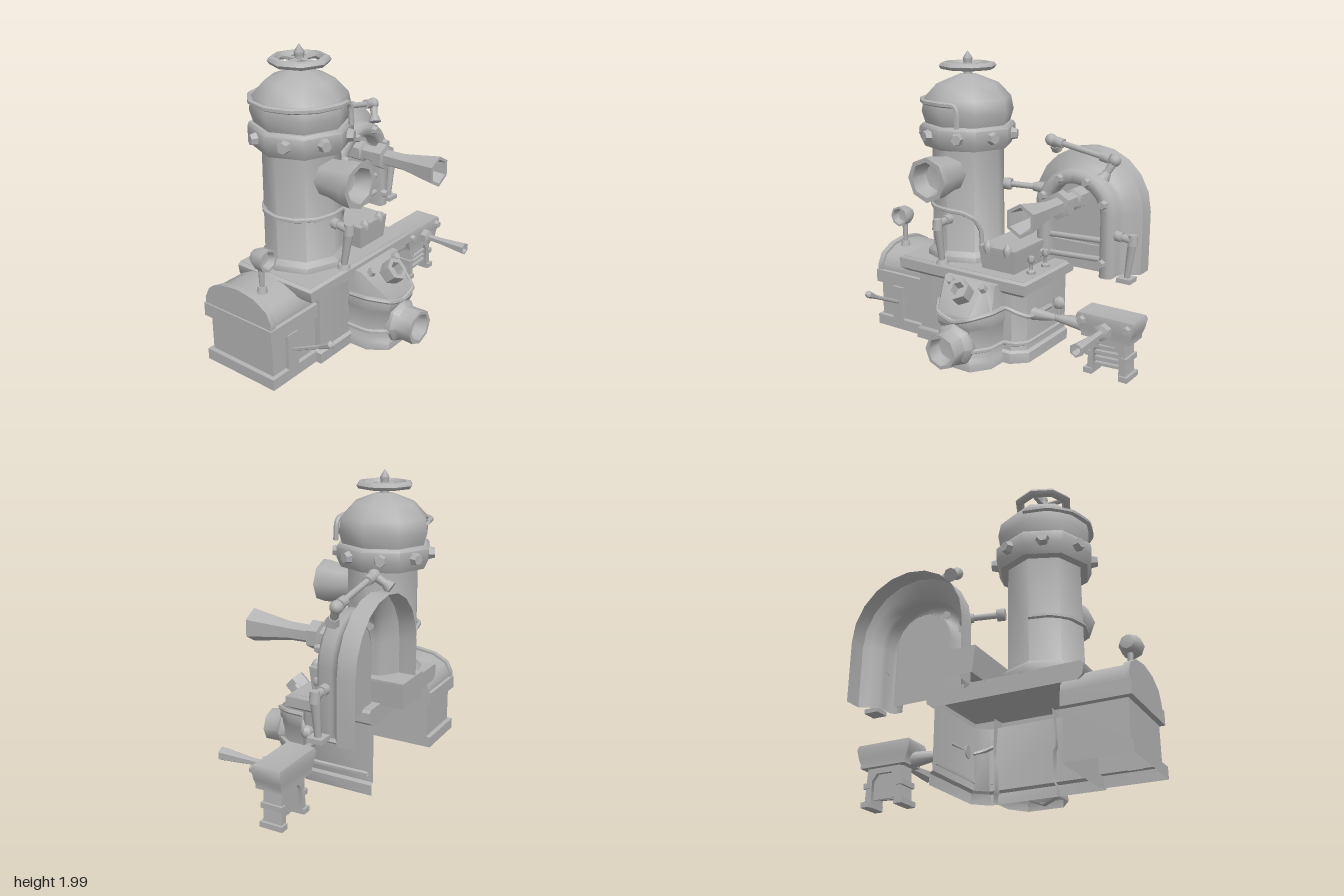
import * as THREE from 'three';
import { toCreasedNormals } from 'three/addons/utils/BufferGeometryUtils.js';

const V = (x, y, z) => new THREE.Vector3(x, y, z);
const UP = V(0, 1, 0);

export function createModel() {
  const model = new THREE.Group();
  model.name = 'steamMachine';
  const castIron = new THREE.MeshStandardMaterial({ color: 0xb2b2b2, side: THREE.DoubleSide });
  castIron.name = 'castIronGrey';

  const add = (name, geo, x = 0, y = 0, z = 0) => {
    const mesh = new THREE.Mesh(toCreasedNormals(geo, 0.9), castIron);
    mesh.name = name;
    mesh.position.set(x, y, z);
    model.add(mesh);
    return mesh;
  };
  const box = (name, w, h, d, x, y, z) => add(name, new THREE.BoxGeometry(w, h, d), x, y, z);
  // Tapered bar from a to b
  const link = (name, a, b, r0, r1 = r0, sides = 8) => {
    const d = b.clone().sub(a);
    const mesh = add(name, new THREE.CylinderGeometry(r1, r0, d.length(), sides));
    mesh.position.copy(a).addScaledVector(d, 0.5);
    mesh.quaternion.setFromUnitVectors(UP, d.normalize());
    return mesh;
  };
  const bolt = (p, dir, r = 0.032, h = 0.04) =>
    link('bolt', p, p.clone().addScaledVector(dir, h), r, r * 0.75, 6);
  // Turned profile of [radius, height] pairs
  const turned = (profile, sides = 8) =>
    new THREE.LatheGeometry(profile.map(([r, y]) => new THREE.Vector2(r, y)), sides);
  const facing = (name, profile, sides, x, y, z) =>
    add(name, turned(profile, sides).rotateX(Math.PI / 2), x, y, z);
  const pipe = (name, pts, r = 0.016) => add(name, new THREE.TubeGeometry(
    new THREE.CatmullRomCurve3(pts, false, 'catmullrom', 0.2), pts.length * 5, r, 6));
  // Skin over a row of cross-sections
  const loft = (sections, closed = false) => {
    const n = sections[0].length, index = [];
    for (let i = 0; i < sections.length - 1; i++)
      for (let j = 0; j < (closed ? n : n - 1); j++) {
        const a = i * n + j, b = i * n + (j + 1) % n;
        index.push(a, b, a + n, b, b + n, a + n);
      }
    const geo = new THREE.BufferGeometry().setFromPoints(sections.flat());
    geo.setIndex(index);
    return geo;
  };
  // Stacked rectangles [y, x0, x1, z0, z1]
  const stack = (name, rows) => add(name, loft(rows.map(([y, a, b, c, d]) =>
    [V(a, y, d), V(b, y, d), V(b, y, c), V(a, y, c)]), true));
  const archShape = (x, y0, y1, rx, ry, n) => {
    const s = new THREE.Shape([new THREE.Vector2(x + rx, y0)]);
    for (let i = 0; i <= n; i++) {
      const t = (i / n) * Math.PI;
      s.lineTo(x + rx * Math.cos(t), y1 + ry * Math.sin(t));
    }
    s.lineTo(x - rx, y0);
    return s;
  };
  // Jointed valve lever standing on a foot
  const lever = (foot, knee, end) => {
    link('leverFoot', foot, foot.clone().add(V(0, 0.03, 0)), 0.045, 0.035);
    link('leverArm', foot, knee, 0.02, 0.032);
    link('leverElbow', knee.clone().add(V(0, -0.035, 0)), knee.clone().add(V(0, 0.035, 0)), 0.036, 0.03);
    link('leverRod', knee, end, 0.032, 0.022);
    link('leverCollar', knee.clone().lerp(end, 0.6), end, 0.035);
  };

  // Tower
  const tx = -0.365, tz = -0.15;
  const around = (deg, r, y) => V(tx + r * Math.sin(deg * Math.PI / 180), y, tz + r * Math.cos(deg * Math.PI / 180));
  add('towerColumn', turned([[0.285, 0.58], [0.285, 0.63], [0.25, 0.66], [0.245, 1.37]]), tx, 0, tz);
  add('towerCollar', turned([[0.24, 1.35], [0.295, 1.355], [0.325, 1.42], [0.325, 1.49], [0.31, 1.51], [0.28, 1.51]]), tx, 0, tz);
  add('towerDome', turned([[0.285, 1.5], [0.312, 1.59], [0.295, 1.68], [0.21, 1.77], [0.06, 1.83], [0, 1.835]]), tx, 0, tz);
  for (let i = 0; i < 8; i++) {
    const d = 22.5 + i * 45;
    bolt(around(d, 0.295, 1.44), around(d, 1, 0).sub(V(tx, 0, tz)), 0.045, 0.045);
  }
  const round = [-180, -150, -120, -90, -60, -30, 0];
  pipe('domePipe', [...round.map(d => around(d, 0.31, 1.66)), around(18, 0.305, 1.655), around(23, 0.315, 1.62), around(23, 0.32, 1.51)], 0.018);
  pipe('columnPipe', [...round.map(d => around(d, 0.25, 0.945)), around(25, 0.25, 0.935), around(45, 0.25, 0.89),
    around(55, 0.25, 0.81), around(57, 0.25, 0.65)]);
  facing('towerPort', [[0.12, 0], [0.125, 0.2], [0.15, 0.33], [0.15, 0.38], [0.118, 0.38], [0.09, 0.27], [0, 0.25]], 8, tx, 1.19, -0.07);

  // Hand wheel
  link('wheelStem', V(tx, 1.82, tz), V(tx, 1.93, tz), 0.03, 0.028);
  add('wheelFinial', turned([[0.028, 1.91], [0.033, 1.935], [0, 1.985]]), tx, 0, tz);
  add('wheelRim', turned([[0.135, 1.885], [0.15, 1.91], [0.18, 1.905], [0.193, 1.885], [0.18, 1.865], [0.15, 1.86], [0.135, 1.885]]), tx, 0, tz);
  for (let i = 0; i < 4; i++) link('wheelSpoke', V(tx, 1.885, tz), around(i * 90, 0.15, 1.885), 0.016, 0.016, 6);

  // Main body: thin walls, open behind and below
  const wall = (y, o) => [V(-0.57 - o, y, -0.41), V(-0.57 - o, y, 0.15 + o), V(0.19, y, 0.15 + o), V(0.265 + o, y, 0.08), V(0.265 + o, y, -0.41)];
  add('bodyWalls', loft([wall(0, 0.02), wall(0.07, 0.02), wall(0.085, 0), wall(0.5, 0)]));
  stack('bodyTop', [[0.48, -0.67, 0.28, -0.41, 0.16], [0.51, -0.7, 0.325, -0.41, 0.2], [0.575, -0.71, 0.325, -0.41, 0.2], [0.59, -0.69, 0.3, -0.41, 0.18]]);
  box('bodyDeck', 0.99, 0.02, 0.59, -0.195, 0.582, -0.115);
  stack('deckTrough', [[0.58, -0.08, 0.17, -0.57, 0.09], [0.745, -0.1, 0.185, -0.57, 0.105]]);
  box('troughLid', 0.285, 0.012, 0.675, 0.0425, 0.745, -0.2325);
  for (const x of [-0.035, 0.12])
    add('troughSpike', turned([[0.02, 0.7], [0.034, 0.745], [0.025, 0.765], [0, 0.795]], 6), x, 0, 0.09);
  for (const z of [0.01, -0.165])
    add('deckPeg', turned([[0.03, 0.58], [0.03, 0.61], [0.012, 0.62], [0.012, 0.66], [0.027, 0.68], [0.02, 0.71], [0, 0.715]], 6), 0.25, 0, z);

  // Front bulge
  const bulge = (y, o, cut = 1) => [[-0.28, 0.1], [-0.275, 0.29], [-0.19, 0.41], [0.04, 0.41], [0.125, 0.29], [0.13, 0.1]]
    .map(([x, z]) => V(x + Math.sign(x + 0.075) * o, y, Math.min(z + o, cut)));
  add('bulgeShell', loft([bulge(0, 0.01), bulge(0.05, 0.01), bulge(0.08, -0.005), bulge(0.27, 0), bulge(0.3, 0.012),
    bulge(0.37, 0.012), bulge(0.55, 0, 0.24), bulge(0.55, 0, 0.1)]));
  facing('bulgePort', [[0.14, 0], [0.145, 0.05], [0.115, 0.08], [0.118, 0.19], [0.095, 0.19], [0.08, 0.1], [0, 0.09]], 8, -0.07, 0.165, 0.38);
  facing('bulgeNozzle', [[0.075, 0], [0.08, 0.08], [0.078, 0.12], [0.048, 0.12], [0.04, 0.06], [0, 0.06]], 6, -0.07, 0.455, 0.295).rotation.x = -0.75;
  for (const x of [-0.2, 0.055]) bolt(V(x, 0.52, 0.265), V(0, 0.7, 0.7));
  pipe('wavyPipe', [V(-0.29, 0.38, 0.17), V(-0.285, 0.385, 0.3), V(-0.195, 0.36, 0.425), V(-0.07, 0.325, 0.43), V(0.045, 0.36, 0.425),
    V(0.14, 0.385, 0.3), V(0.15, 0.385, 0.17), V(0.22, 0.35, 0.13), V(0.28, 0.32, 0.07), V(0.275, 0.31, -0.2)]);
  pipe('lowerPipe', [V(-0.285, 0.14, 0.15), V(-0.28, 0.14, 0.3), V(-0.195, 0.14, 0.415), V(0.045, 0.14, 0.415), V(0.13, 0.14, 0.3),
    V(0.14, 0.14, 0.165), V(0.2, 0.14, 0.16), V(0.275, 0.14, 0.08), V(0.275, 0.14, -0.38)]);

  // Side chamber with a barrel roof
  stack('chamberWalls', [[0, -0.985, -0.57, -0.44, 0.13], [0.075, -0.985, -0.57, -0.44, 0.13], [0.08, -0.96, -0.57, -0.41, 0.105],
    [0.32, -0.96, -0.57, -0.41, 0.105], [0.325, -0.99, -0.57, -0.44, 0.13], [0.415, -0.99, -0.57, -0.44, 0.13], [0.42, -0.95, -0.57, -0.42, 0.11]]);
  const barrel = (name, rx, ry, x, len) => add(name, new THREE.ExtrudeGeometry(archShape(0, 0, 0.04, rx, ry, 6),
    { depth: len, bevelEnabled: false }).rotateY(Math.PI / 2), x, 0.415, -0.155);
  barrel('chamberRoof', 0.262, 0.13, -0.965, 0.4);
  barrel('chamberRoofRim', 0.278, 0.148, -0.98, 0.04);
  box('leverBracket', 0.09, 0.24, 0.03, -0.8, 0.195, 0.115);
  link('chamberLever', V(-0.8, 0.2, 0.12), V(-0.8, 0.31, 0.35), 0.012, 0.014, 6);
  link('chamberLeverGrip', V(-0.8, 0.31, 0.35), V(-0.8, 0.355, 0.43), 0.014, 0.026, 6);
  link('chamberLeverTip', V(-0.8, 0.355, 0.43), V(-0.8, 0.365, 0.45), 0.026, 0.008, 6);
  link('gaugeFoot', V(-0.865, 0.57, -0.05), V(-0.865, 0.61, -0.05), 0.035, 0.025);
  link('gaugeStem', V(-0.865, 0.58, -0.05), V(-0.865, 0.75, -0.05), 0.014, 0.02);
  facing('gaugeCup', [[0, 0], [0.045, 0.01], [0.07, 0.06], [0.073, 0.125], [0.058, 0.125], [0.045, 0.08], [0, 0.07]], 8, -0.865, 0.8, -0.11);

  // Arched furnace door: rim profile [offset, z] carried round the arch
  const ax = 0.403, ay = 0.965, steps = 10;
  const rim = [[0.405, -0.567], [0.405, -0.45], [0.36, -0.425], [0.3, -0.38], [0.287, -0.35], [0.287, -0.27], [0.265, -0.245], [0.215, -0.245], [0.195, -0.265], [0.195, -0.36]];
  const arch = [rim.map(([d, z]) => V(ax - d, 0.56, z))];
  for (let i = steps; i >= 0; i--) {
    const t = (i / steps) * Math.PI;
    arch.push(rim.map(([d, z]) => V(ax + d * Math.cos(t), ay + d * Math.sin(t), z)));
  }
  arch.push(rim.map(([d, z]) => V(ax + d, 0.56, z)));
  add('archShell', loft(arch));
  add('archPanel', new THREE.ShapeGeometry(archShape(ax, 0.56, ay, 0.2, 0.2, steps)), 0, 0, -0.355);
  for (const s of [-1, 1])
    for (const [x, y] of [[0.1, 1.185], [0.225, 1.055], [0.225, 0.66]]) bolt(V(ax + s * x, y, -0.25), V(0, 0, 1));
  for (const y of [0.79, 0.66]) link('grateBar', V(0.2, y - 0.01, -0.3), V(0.61, y + 0.01, -0.3), 0.02);
  box('grateSlat', 0.39, 0.05, 0.02, ax, 0.72, -0.34);
  facing('archHorn', [[0.075, 0], [0.075, 0.11], [0.055, 0.12], [0.06, 0.225], [0.092, 0.23], [0.092, 0.3], [0.058, 0.305], [0.06, 0.45],
    [0.085, 0.6], [0.108, 0.73], [0.085, 0.73], [0.045, 0.5], [0, 0.45]], 6, 0.4, 1.055, -0.355);

  // Linkages
  const a = V(-0.12, 1.1, -0.225), b = V(0.16, 1.09, -0.31);
  link('towerRod', a, b, 0.02);
  link('towerRodFlange', a, a.clone().lerp(b, 0.18), 0.04);
  link('towerRodJoint', a.clone().lerp(b, 0.7), b, 0.03, 0.04);
  const top = [V(0.15, 1.34, -0.46), V(0.17, 1.41, -0.35), V(0.64, 1.325, -0.355), V(0.59, 1.21, -0.3)];
  link('topRod', top[1], top[2], 0.02);
  for (const [p, q] of [[top[1], top[0]], [top[2], top[3]]]) {
    link('topRodCrank', p, q, 0.03, 0.022);
    link('topRodEnd', p.clone().lerp(q, 0.65), q, 0.03, 0.045);
    add('topRodKnuckle', new THREE.IcosahedronGeometry(0.042, 1), p.x, p.y, p.z);
  }
  for (const [s, e] of [[0.06, 0.2], [0.8, 0.93]]) link('topRodSleeve', top[1].clone().lerp(top[2], s), top[1].clone().lerp(top[2], e), 0.034);
  lever(V(-0.355, 0.59, 0.17), V(-0.355, 0.875, 0.215), V(-0.355, 0.885, 0.08));
  lever(V(0.775, 0.55, -0.31), V(0.81, 0.835, -0.31), V(0.69, 0.845, -0.31));
  box('leverStep', 0.1, 0.03, 0.1, 0.775, 0.565, -0.31);

  // Small stove, joined to the body by a waisted duct
  const duct = [V(0.26, 0.315, 0), V(0.42, 0.315, -0.025), V(0.63, 0.295, -0.08)];
  link('ductInlet', duct[0], duct[1], 0.045, 0.022);
  link('ductOutlet', duct[1], duct[2], 0.022, 0.055);
  link('ductValveStem', V(0.44, 0.3, -0.03), V(0.44, 0.39, -0.03), 0.01);
  add('ductValveKnob', new THREE.SphereGeometry(0.045, 6, 4), 0.44, 0.42, -0.03);
  stack('stoveTop', [[0.25, 0.66, 0.93, -0.14, -0.03], [0.255, 0.625, 0.965, -0.175, 0.005], [0.28, 0.625, 0.965, -0.175, 0.005],
    [0.32, 0.605, 0.98, -0.18, 0.01], [0.385, 0.59, 0.995, -0.185, 0.015], [0.41, 0.6, 0.985, -0.18, 0.01]]);
  stack('stoveLid', [[0.41, 0.6, 0.985, -0.18, 0.01], [0.4, 0.7, 0.89, -0.12, -0.05], [0.4, 0.795, 0.795, -0.085, -0.085]]);
  const front = new THREE.Shape([[0.66, 0], [0.705, 0], [0.705, 0.17], [0.74, 0.215], [0.85, 0.215], [0.885, 0.17], [0.885, 0],
    [0.935, 0], [0.92, 0.26], [0.675, 0.26]].map(p => new THREE.Vector2(...p)));
  add('stoveBody', new THREE.ExtrudeGeometry(front, { depth: 0.13, bevelEnabled: false }), 0, 0, -0.15);
  box('stoveBack', 0.2, 0.18, 0.01, 0.795, 0.14, -0.12);
  for (let i = 0; i < 4; i++) box('stoveSlat', 0.19, 0.018, 0.03, 0.795, 0.07 + i * 0.04, -0.05).rotation.z = 0.06;
  for (const x of [0.672, 0.923]) {
    box('stoveFoot', 0.06, 0.035, 0.16, x, 0.0175, -0.085);
    box('stoveClasp', 0.04, 0.035, 0.15, x, 0.14, -0.085);
  }
  for (const x of [0.635, 0.95]) bolt(V(x, 0.365, 0.005), V(0, 0, 1));
  facing('stoveHorn', [[0.055, 0], [0.055, 0.06], [0.025, 0.07], [0.027, 0.17], [0.045, 0.37], [0.032, 0.37], [0.015, 0.2], [0, 0.2]], 6, 0.795, 0.325, 0);
  return model;
}
